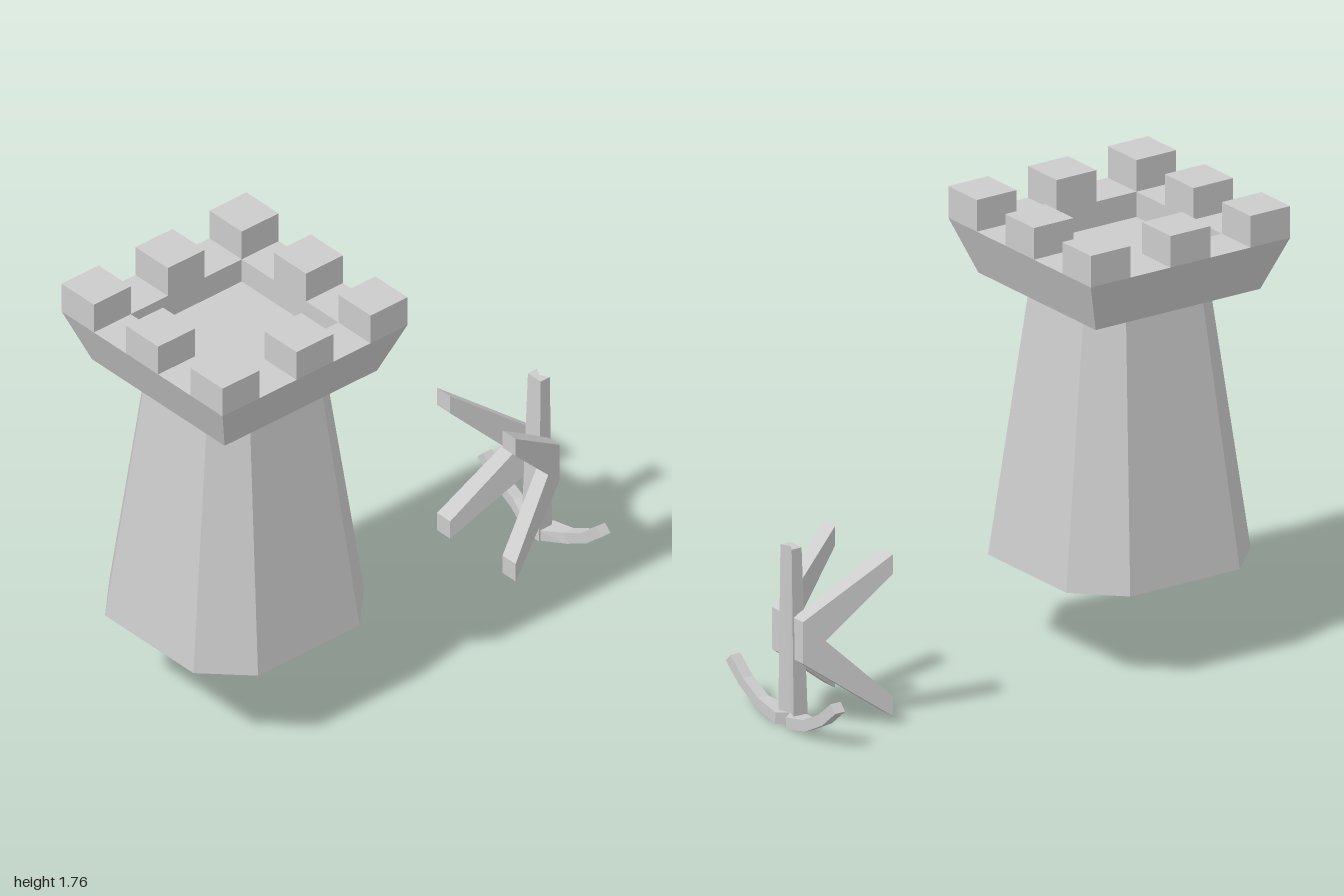
import * as THREE from 'three';

const material = new THREE.MeshStandardMaterial({ color: 0xcccccc, flatShading: true });
const openMaterial = new THREE.MeshStandardMaterial({ color: 0xcccccc, flatShading: true, side: THREE.DoubleSide });

// Skin a row of cross-sections (equal point counts); faces are turned outward by signed volume
function loft(sections, capped = true) {
  const tris = [];
  const n = sections[0].length;
  for (let s = 0; s < sections.length - 1; s++) {
    for (let i = 0; i < n; i++) {
      const j = (i + 1) % n;
      const a = sections[s][i], b = sections[s][j];
      const c = sections[s + 1][j], d = sections[s + 1][i];
      tris.push([a, b, c], [a, c, d]);
    }
  }
  if (capped) {
    const first = sections[0], last = sections[sections.length - 1];
    for (let i = 1; i < n - 1; i++) {
      tris.push([first[0], first[i + 1], first[i]], [last[0], last[i], last[i + 1]]);
    }
  }
  const v = (p) => new THREE.Vector3(...p);
  const volume = tris.reduce((sum, [a, b, c]) => sum + v(a).dot(v(b).cross(v(c))), 0);
  if (volume < 0) tris.forEach((t) => t.reverse());
  const geometry = new THREE.BufferGeometry();
  geometry.setAttribute('position', new THREE.Float32BufferAttribute(tris.flat(2), 3));
  geometry.computeVertexNormals();
  return geometry;
}

function add(parent, name, geometry, mat = material) {
  const mesh = new THREE.Mesh(geometry, mat);
  mesh.name = name;
  parent.add(mesh);
  return mesh;
}

const square = (h, y) => [[h, y, h], [h, y, -h], [-h, y, -h], [-h, y, h]];

// Square with chamfered corners: half width h, half flat side f
const octagon = (h, f, y) => [
  [f, y, h], [h, y, f], [h, y, -f], [f, y, -h],
  [-f, y, -h], [-h, y, -f], [-h, y, f], [-f, y, h],
];

function createTower() {
  const tower = new THREE.Group();
  tower.name = 'tower';
  tower.position.z = 0.545;

  // Tapered shaft, open underneath
  add(tower, 'shaft', loft([octagon(0.42, 0.25, 0.36), octagon(0.285, 0.173, 1.43)], false), openMaterial);

  // Flared crown with a sunken roof
  add(tower, 'crown', loft([
    square(0.375, 1.43), square(0.455, 1.64), square(0.273, 1.64), square(0.273, 1.54),
  ]));

  // Eight merlons around the rim
  for (const i of [-1, 0, 1]) {
    for (const k of [-1, 0, 1]) {
      if (i === 0 && k === 0) continue;
      add(tower, 'merlon', new THREE.BoxGeometry(0.182, 0.125, 0.182))
        .position.set(i * 0.364, 1.7025, k * 0.364);
    }
  }
  return tower;
}

function createStand() {
  const stand = new THREE.Group();
  stand.name = 'stand';

  // Upright post, grooved down the back
  const postSection = (w, y, front, back) => [
    [0, y, -0.955], [w, y, back], [w, y, front], [-w, y, front], [-w, y, back],
  ];
  add(stand, 'post', loft([
    postSection(0.05, 0, -0.91, -0.975), postSection(0.036, 0.705, -0.93, -0.975),
  ]));

  for (const s of [1, -1]) {
    // Tapered spokes reaching forward, one up and one down
    const spokeSection = (x0, x1, y0, y1, z) => [
      [s * x0, y0, z], [s * x1, y0, z], [s * x1, y1, z], [s * x0, y1, z],
    ];
    const inner = spokeSection(0.036, 0.098, 0.27, 0.435, -0.968);
    add(stand, 'upperSpoke', loft([inner, spokeSection(0.148, 0.222, 0.595, 0.672, -0.645)]));
    add(stand, 'lowerSpoke', loft([inner, spokeSection(0.148, 0.222, 0.03, 0.108, -0.645)]));

    // Curved arm rising from the foot of the post:
    // lower edge x, y / upper edge x, y / front z / back z / extra x at the back
    const arm = [
      [0, 0, 0, 0.045, -0.91, -0.955, 0],
      [0.045, 0, 0.043, 0.045, -0.915, -1, -0.01],
      [0.155, 0.025, 0.142, 0.068, -0.953, -1, 0],
      [0.265, 0.083, 0.24, 0.118, -0.955, -1, 0],
      [0.35, 0.155, 0.32, 0.185, -0.955, -1, 0],
    ].map(([xl, yl, xu, yu, zf, zb, dx]) => [
      [s * xl, yl, zf], [s * (xl + dx), yl, zb], [s * (xu + dx), yu, zb], [s * xu, yu, zf],
    ]);
    add(stand, 'curvedArm', loft(arm));
  }
  return stand;
}

export function createModel() {
  const model = new THREE.Group();
  model.name = 'towerAndStand';
  model.add(createTower(), createStand());
  return model;
}
